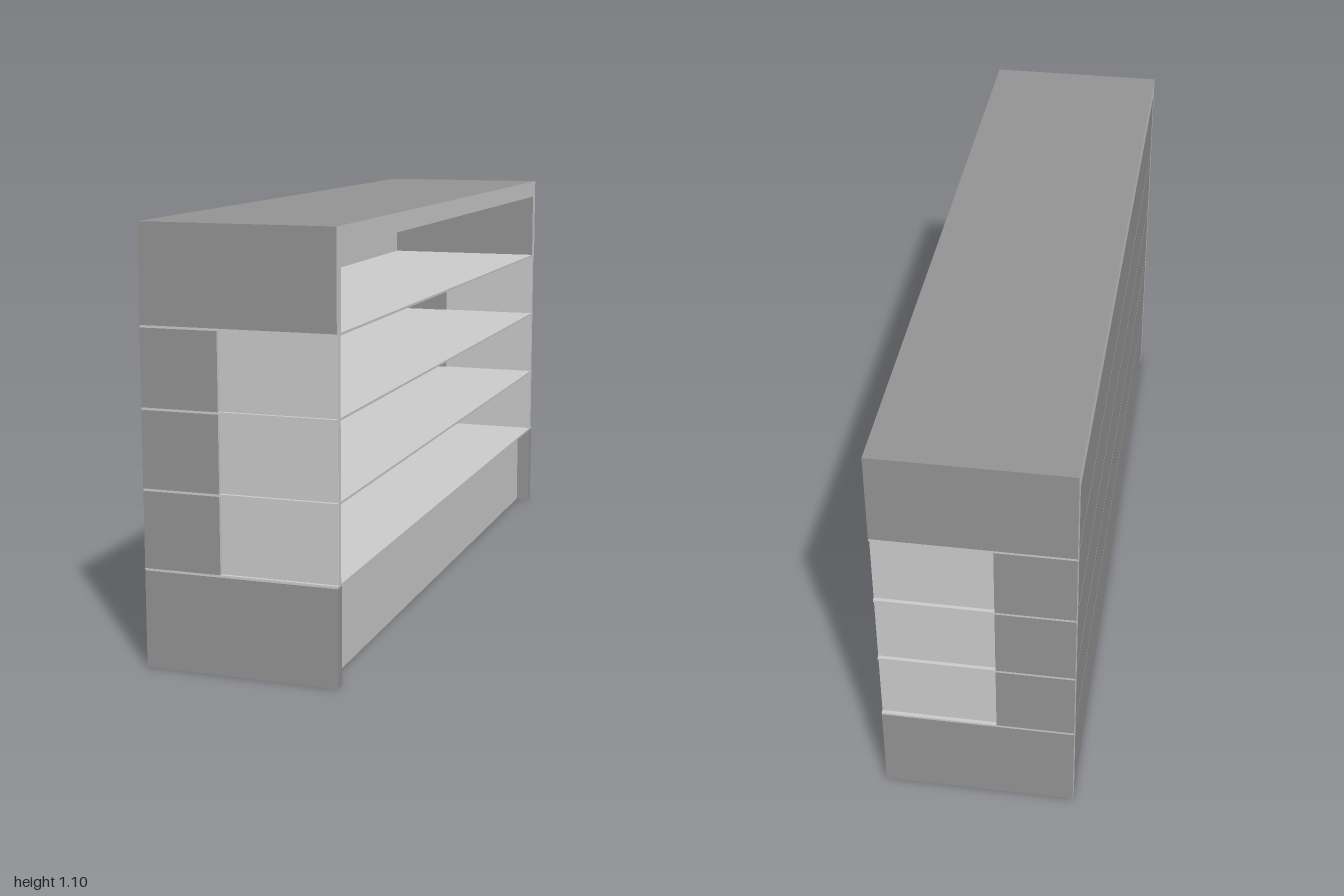
import * as THREE from 'three';

export function createModel() {
  const model = new THREE.Group();
  const light = new THREE.MeshStandardMaterial({ color: 0xcccccc });
  const dark = new THREE.MeshStandardMaterial({ color: 0x949494 });

  // Box between two limits per axis; materials may be one or six (+x -x +y -y +z -z)
  function box(name, [x0, x1], [y0, y1], [z0, z1], material) {
    const mesh = new THREE.Mesh(new THREE.BoxGeometry(x1 - x0, y1 - y0, z1 - z0), material);
    mesh.position.set((x0 + x1) / 2, (y0 + y1) / 2, (z0 + z1) / 2);
    mesh.name = name;
    model.add(mesh);
  }
  const mirrored = (side, a, b) => (side > 0 ? [a, b] : [-b, -a]);

  const X = 0.25, Z = 1, inner = 0.97, windowX = -0.05, half = 0.003;
  const levels = [0.25, 0.45, 0.65, 0.85];
  const edged = [light, light, dark, dark, dark, dark];
  const edgedBack = [dark, light, dark, dark, dark, dark];
  const backFaces = [light, dark, dark, dark, dark, dark];

  // Top slab with pale front and back edges
  box('top', [-X, X], [1.05, 1.1], [-Z, Z], edged);

  // Thin shelves running through the end walls
  for (const y of levels) box('shelf', [-X, X], [y - half, y + half], [-Z, Z], light);

  // Walls are built in bands between the shelves
  const stops = [0, ...levels, 1.05];
  for (let i = 0; i < stops.length - 1; i++) {
    const isFirst = i === 0, isLast = i === stops.length - 2;
    const band = [stops[i] + (isFirst ? 0 : half), stops[i + 1] - (isLast ? 0 : half)];

    // Back panel, and the set-back solid plinth in the lowest band
    if (isFirst) box('plinth', [-X, X - 0.04], band, [-inner, inner], backFaces);
    else box('backPanel', [-X, -X + 0.02], band, [-inner, inner], backFaces);

    for (const side of [1, -1]) {
      const wallZ = mirrored(side, inner, Z);
      if (isFirst) box('lowerEndWall', [-X, X], band, wallZ, edgedBack);
      else if (isLast) box('upperEndWall', [-X, X], band, wallZ, edged);
      else {
        // Narrow wall at the back, recessed pane towards the front
        box('rearEndWall', [-X, windowX], band, wallZ, edged);
        box('endPane', [windowX, X], band, mirrored(side, 0.975, 0.99), light);
      }
    }
  }
  return model;
}
